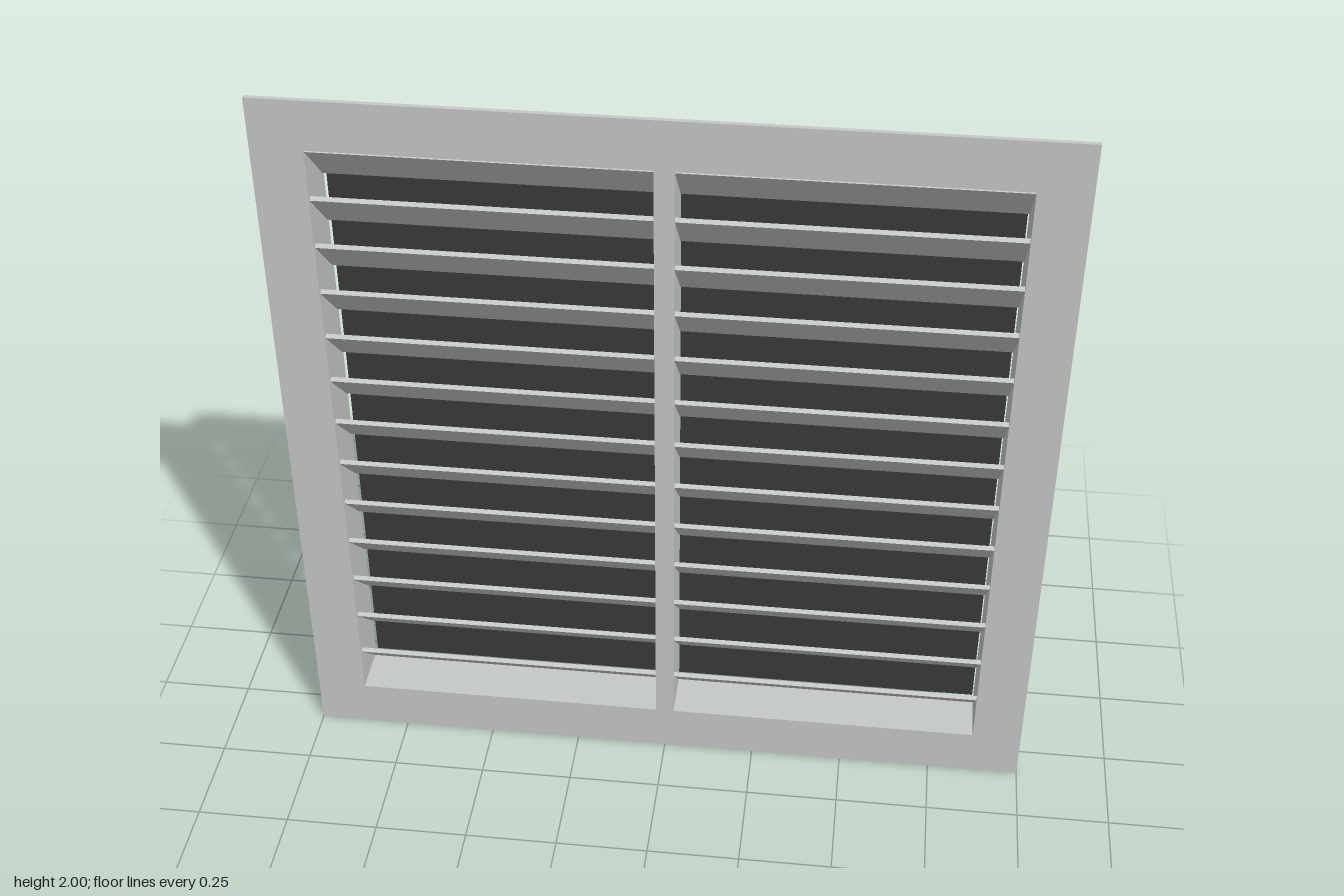
import * as THREE from 'three';

const FRONT = 0.087, FLANGE_BACK = 0.074, SLEEVE_BACK = -0.06;
const INNER = 0.867, OUTER = 0.88, MULLION = 0.025;

// Square outline of the given half size, centred on the origin
function square(Type, h) {
  return new Type([[-h, -h], [h, -h], [h, h], [-h, h]].map(([x, y]) => new THREE.Vector2(x, y)));
}

// Hollow square frame running from z = back to z = front
function ring(outer, inner, back, front) {
  const shape = square(THREE.Shape, outer);
  shape.holes.push(square(THREE.Path, inner));
  return new THREE.ExtrudeGeometry(shape, { depth: front - back, bevelEnabled: false }).translate(0, 1, back);
}

export function createModel() {
  const group = new THREE.Group();
  group.name = 'louvreVent';

  const grey = new THREE.MeshStandardMaterial({ color: 0xc4c8c7 });
  grey.name = 'light grey';
  const dark = new THREE.MeshStandardMaterial({ color: 0x3a3a3a });
  dark.name = 'dark screen';

  function add(name, geometry, material, parent = group) {
    const mesh = new THREE.Mesh(geometry, material);
    mesh.name = name;
    parent.add(mesh);
    return mesh;
  }

  // Wall flange and the duct sleeve behind it
  add('flange', ring(1, INNER, FLANGE_BACK, FRONT), grey);
  add('sleeve', ring(OUTER, INNER, SLEEVE_BACK, FLANGE_BACK), grey);

  // Central upright
  const depth = FRONT - SLEEVE_BACK;
  add('mullion', new THREE.BoxGeometry(MULLION * 2, INNER * 2, depth), grey)
    .position.set(0, 1, (FRONT + SLEEVE_BACK) / 2);

  // Slanted slats on both sides, upper edge forward
  const count = 13, pitch = (INNER * 2) / count;
  const width = INNER - MULLION;
  const slatGeometry = new THREE.BoxGeometry(width, 0.18, 0.012);
  for (const side of [-1, 1]) {
    const bank = new THREE.Group();
    bank.name = side > 0 ? 'leftSlats' : 'rightSlats';
    group.add(bank);
    for (let i = 0; i < count; i++) {
      const slat = add('slat', slatGeometry, grey, bank);
      slat.position.set(side * (MULLION + INNER) / 2, 1 - INNER + (i + 0.5) * pitch, 0.012);
      slat.rotation.x = Math.PI / 4;
    }
  }

  // Dark screen held just behind the sleeve
  add('backScreen', new THREE.BoxGeometry(1.73, 1.73, 0.012), dark).position.set(0, 1, -0.081);

  return group;
}
